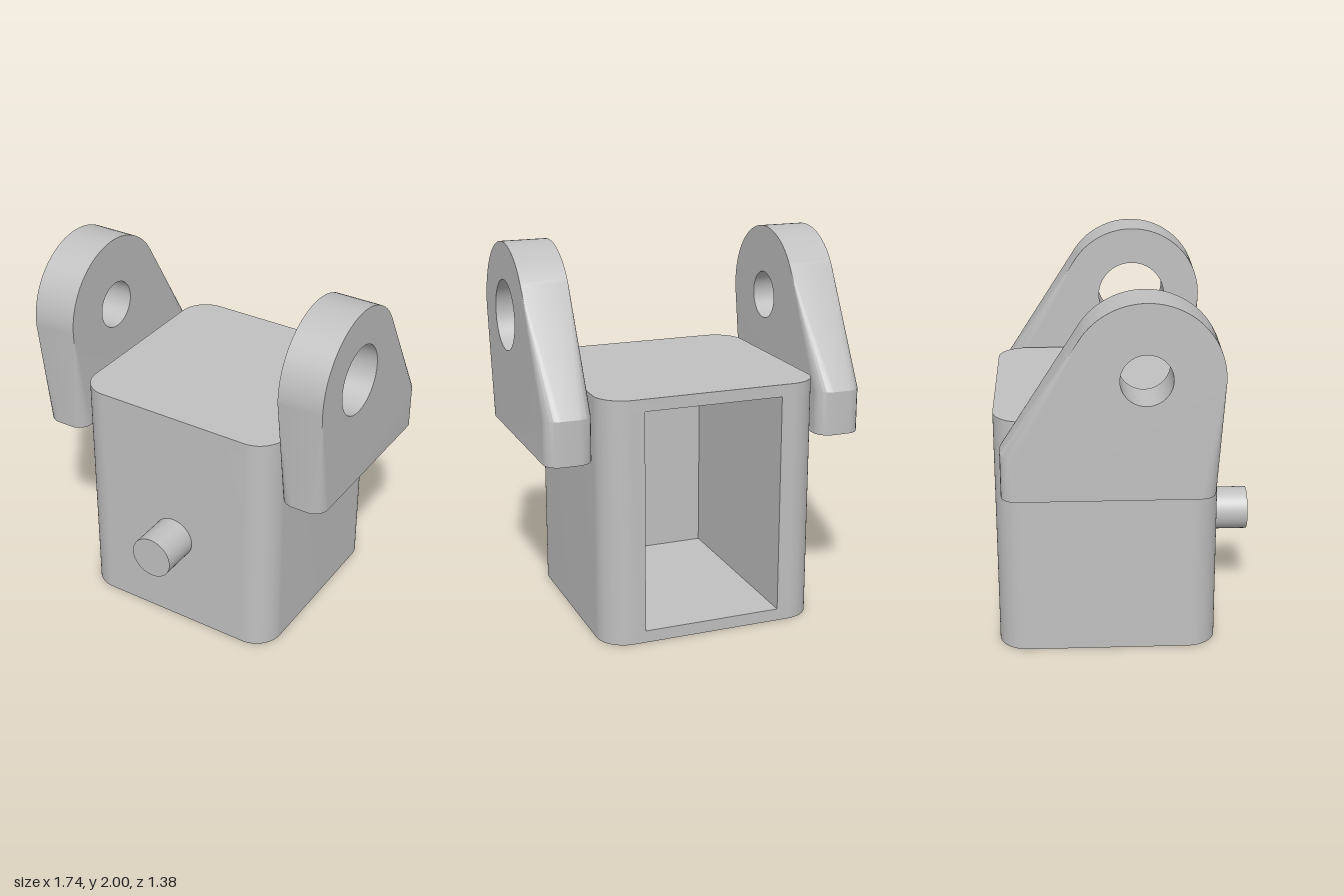
import * as THREE from 'three';
import { toCreasedNormals } from 'three/addons/utils/BufferGeometryUtils.js';

const grey = new THREE.MeshStandardMaterial({ color: 0xc0c0c0 });
grey.name = 'plain grey';

// Housing footprint
const W = 0.595, FRONT = 0.475, BACK = 0.69, R = 0.155;
const H = 1.31, WALL = 0.065, OPEN = 0.375;

function add(group, geometry, name) {
  const mesh = new THREE.Mesh(geometry, grey);
  mesh.name = name;
  group.add(mesh);
  return mesh;
}

// Rounded footprint; with a notch it becomes a U open to the back
function footprint(notched) {
  const s = new THREE.Shape();
  s.moveTo(-W + R, -FRONT);
  s.lineTo(W - R, -FRONT);
  s.absarc(W - R, -FRONT + R, R, -Math.PI / 2, 0);
  s.lineTo(W, BACK - R);
  s.absarc(W - R, BACK - R, R, 0, Math.PI / 2);
  if (notched) {
    s.lineTo(OPEN, BACK);
    s.lineTo(OPEN, -FRONT + WALL);
    s.lineTo(-OPEN, -FRONT + WALL);
    s.lineTo(-OPEN, BACK);
  }
  s.lineTo(-W + R, BACK);
  s.absarc(-W + R, BACK - R, R, Math.PI / 2, Math.PI);
  s.lineTo(-W, -FRONT + R);
  s.absarc(-W + R, -FRONT + R, R, Math.PI, Math.PI * 1.5);
  return s;
}

function slab(notched, y0, y1) {
  const g = new THREE.ExtrudeGeometry(footprint(notched), { depth: y1 - y0, bevelEnabled: false, curveSegments: 12 });
  g.rotateX(-Math.PI / 2);
  g.translate(0, y0, 0);
  return toCreasedNormals(g, 0.5);
}

// Ear plate: teardrop outline in (z, y), side edges rounded by a radius that fades out upwards
function earGeometry(holeRadius) {
  const half = 0.124, cz = 0.075, cy = 1.615, r = 0.385, fillet = 0.08, steps = 6;
  const outline = [{ z: -0.645, y: 0.99, f: fillet, dir: 1 }, { z: 0.43, y: 0.99, f: fillet, dir: -1 }];
  const a0 = -0.0484, a1 = 2.557;
  for (let i = 0; i <= 40; i++) {
    const a = a0 + (a1 - a0) * i / 40;
    outline.push({ z: cz + r * Math.cos(a), y: cy + r * Math.sin(a), f: 0, dir: 0 });
  }
  outline.push({ z: -0.645, y: 1.225, f: fillet, dir: 1 });
  const hole = [];
  for (let i = 0; i < 40; i++) {
    const a = -i / 40 * Math.PI * 2;
    hole.push({ z: cz + holeRadius * Math.cos(a), y: cy + holeRadius * Math.sin(a), f: 0, dir: 0 });
  }

  const pos = [];
  const tri = (...pts) => pts.forEach((p) => pos.push(...p));
  // Points across the thickness at one outline point
  const rib = ({ z, y, f, dir }) => {
    const left = [];
    for (let k = 0; k <= steps; k++) {
      const a = k / steps * Math.PI / 2;
      left.push([-half + f * (1 - Math.cos(a)), y, z + dir * f * (1 - Math.sin(a))]);
    }
    return [...left, ...left.slice().reverse().map(([px, py, pz]) => [-px, py, pz])];
  };
  const band = (loop) => {
    const ribs = loop.map(rib);
    ribs.forEach((p, i) => {
      const q = ribs[(i + 1) % ribs.length];
      for (let j = 0; j < p.length - 1; j++) {
        // Skip collapsed strips where there is no rounding
        if (p[j][0] === p[j + 1][0] && q[j][0] === q[j + 1][0]) continue;
        tri(p[j], p[j + 1], q[j + 1]);
        tri(p[j], q[j + 1], q[j]);
      }
    });
  };
  band(outline);
  band(hole);

  // Flat cheeks
  const flat = (loop) => loop.map((p) => new THREE.Vector2(p.z + p.dir * p.f, p.y));
  const contour = flat(outline), inner = flat(hole);
  const all = [...contour, ...inner];
  for (const [a, b, c] of THREE.ShapeUtils.triangulateShape(contour, [inner])) {
    const at = (i, x) => [x, all[i].y, all[i].x];
    tri(at(a, -half), at(b, -half), at(c, -half));
    tri(at(a, half), at(c, half), at(b, half));
  }
  const g = new THREE.BufferGeometry();
  g.setAttribute('position', new THREE.Float32BufferAttribute(pos, 3));
  return toCreasedNormals(g, 0.5);
}

export function createModel() {
  const model = new THREE.Group();
  model.name = 'hinge bracket';

  // Box housing, open at the back
  const housing = new THREE.Group();
  housing.name = 'housing';
  add(housing, slab(false, 0, WALL), 'housingFloor');
  add(housing, slab(true, WALL, H - WALL), 'housingWalls');
  add(housing, slab(false, H - WALL, H), 'housingRoof');
  model.add(housing);

  // Front peg
  const peg = new THREE.CylinderGeometry(0.118, 0.118, 0.235, 40);
  peg.rotateX(Math.PI / 2);
  add(model, peg, 'frontPeg').position.set(0, 0.54, 0.5725);

  // Pivot ears: the left one has the wider bore
  add(model, earGeometry(0.187), 'leftEar').position.x = 0.744;
  add(model, earGeometry(0.13), 'rightEar').position.x = -0.744;
  return model;
}
